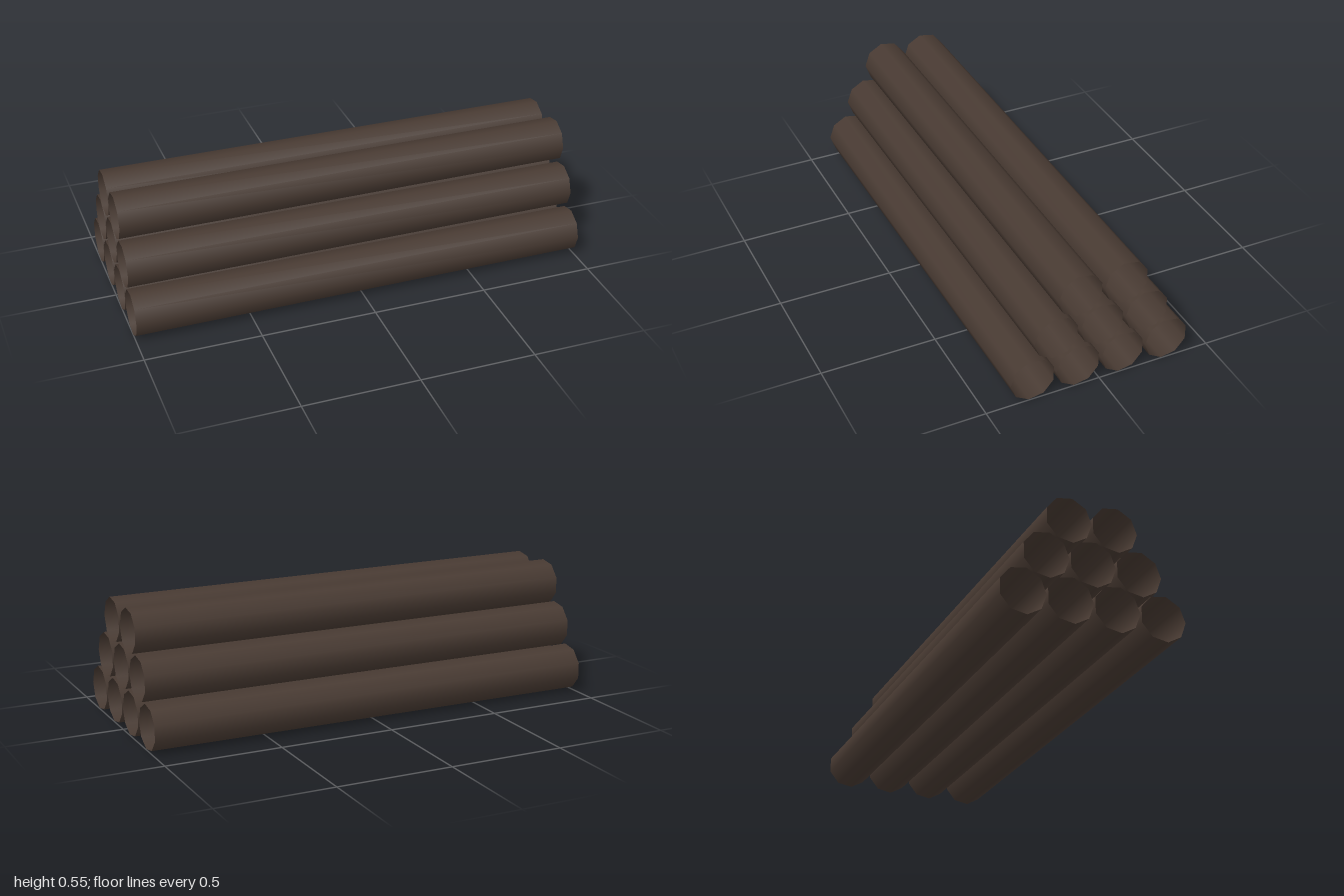
import * as THREE from 'three';

export function createModel() {
  const group = new THREE.Group();
  group.name = 'logPile';

  const bark = new THREE.MeshStandardMaterial({ color: 0x483a32, side: THREE.DoubleSide });
  bark.name = 'dark brown bark';

  // Open, nine-sided, slightly tapered log lying along x
  const log = new THREE.CylinderGeometry(0.0965, 0.1, 2, 9, 1, true);
  log.rotateZ(-Math.PI / 2);

  // Stacked rows: four, three, then two logs
  const spacing = 0.2, rowHeight = 0.175;
  [4, 3, 2].forEach((count, row) => {
    for (let i = 0; i < count; i++) {
      const mesh = new THREE.Mesh(log, bark);
      mesh.name = `logRow${row + 1}Number${i + 1}`;
      mesh.position.set(0, 0.0985 + row * rowHeight, ((count - 1) / 2 - i) * spacing - 0.003);
      group.add(mesh);
    }
  });

  return group;
}
